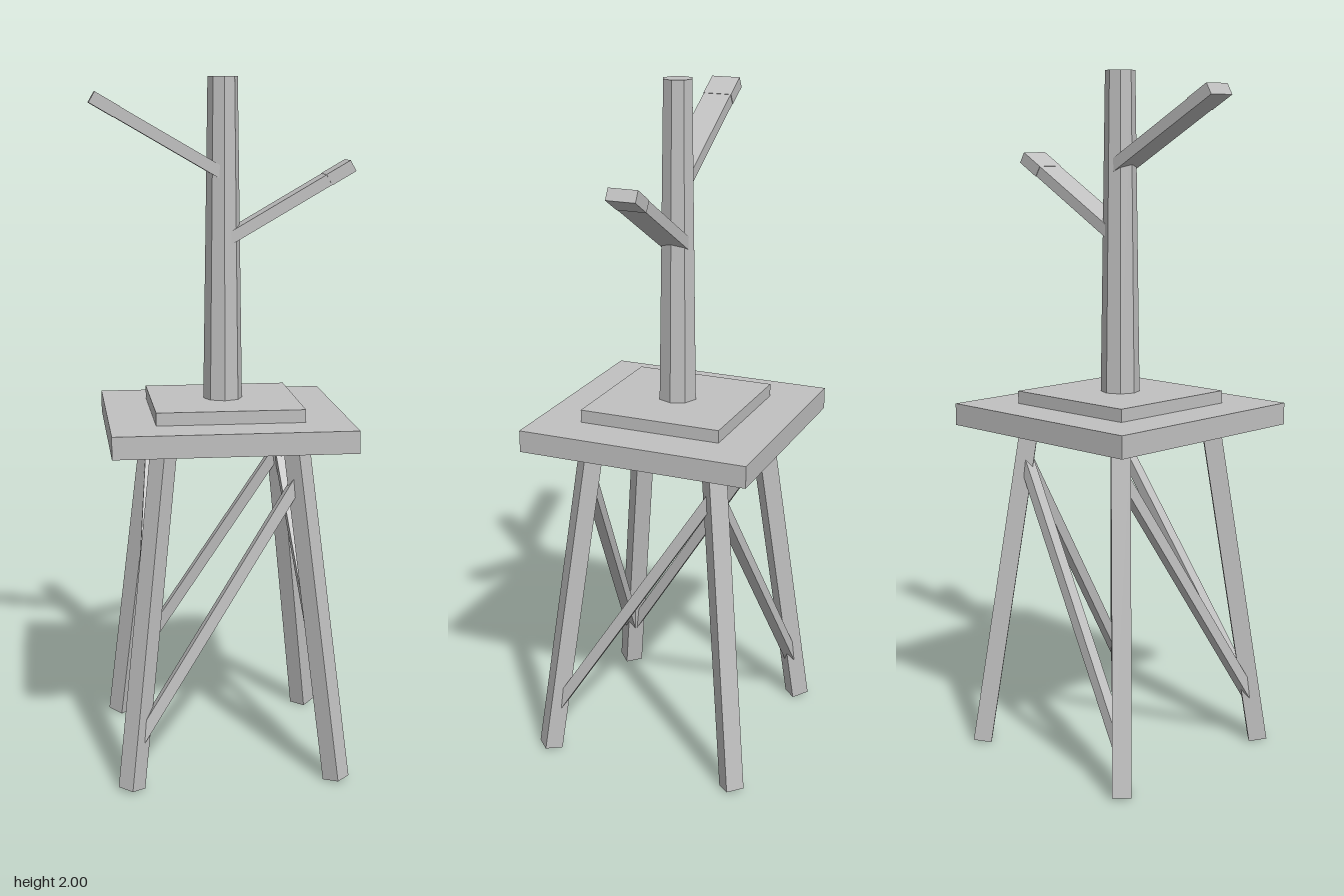
import * as THREE from 'three';

const V = (x, y, z) => new THREE.Vector3(x, y, z);

export function createModel() {
  const group = new THREE.Group();
  const grey = new THREE.MeshStandardMaterial({ color: 0xc0c0c0 });
  grey.name = 'plain grey';

  const add = (name, geometry) => {
    const mesh = new THREE.Mesh(geometry, grey);
    mesh.name = name;
    group.add(mesh);
    return mesh;
  };

  // Box whose long axis runs from a to b; side is the direction of its depth
  const beam = (name, a, b, width, depth, side) => {
    const along = b.clone().sub(a);
    const mesh = add(name, new THREE.BoxGeometry(width, along.length(), depth));
    const y = along.normalize();
    const x = y.clone().cross(side).normalize();
    const z = x.clone().cross(y);
    mesh.quaternion.setFromRotationMatrix(new THREE.Matrix4().makeBasis(x, y, z));
    mesh.position.copy(a).add(b).multiplyScalar(0.5);
    return mesh;
  };

  // Stacked square plates
  add('platform', new THREE.BoxGeometry(0.683, 0.064, 0.683)).position.y = 1.013;
  add('postBase', new THREE.BoxGeometry(0.423, 0.037, 0.423)).position.y = 1.0635;

  // Tapered eight-sided post
  const post = new THREE.CylinderGeometry(0.043, 0.057, 0.92, 8).toNonIndexed();
  post.computeVertexNormals();
  add('post', post).position.y = 1.54;

  // Splayed legs, turned to face the corners
  const spread = (y) => 0.297 - 0.111 * y;
  for (const sx of [-1, 1]) for (const sz of [-1, 1]) {
    const at = (y) => V(sx * spread(y), y, sz * spread(y));
    beam('leg', at(0.005), at(0.99), 0.054, 0.054, V(sx, 0, sz));
  }

  // One diagonal brace between the legs on each side
  const low = 0.13, high = 0.885;
  for (const s of [-1, 1]) {
    beam('crossBrace', V(-spread(low), low, s * spread(low)),
      V(spread(high), high, s * spread(high)), 0.032, 0.032, V(0, 0, 1));
    beam('sideBrace', V(s * spread(low), low, spread(low)),
      V(s * spread(high), high, -spread(high)), 0.032, 0.032, V(1, 0, 0));
  }

  // Two raised arms with slightly thicker tips
  for (const [s, endY] of [[-1, 1.943], [1, 1.752]]) {
    const at = (x) => V(s * x, endY - (0.37 - x) * 0.577, 0);
    beam('arm', at(0), at(0.36), 0.033, 0.083, V(0, 0, 1));
    beam('armTip', at(0.301), at(0.37), 0.035, 0.086, V(0, 0, 1));
  }
  return group;
}
